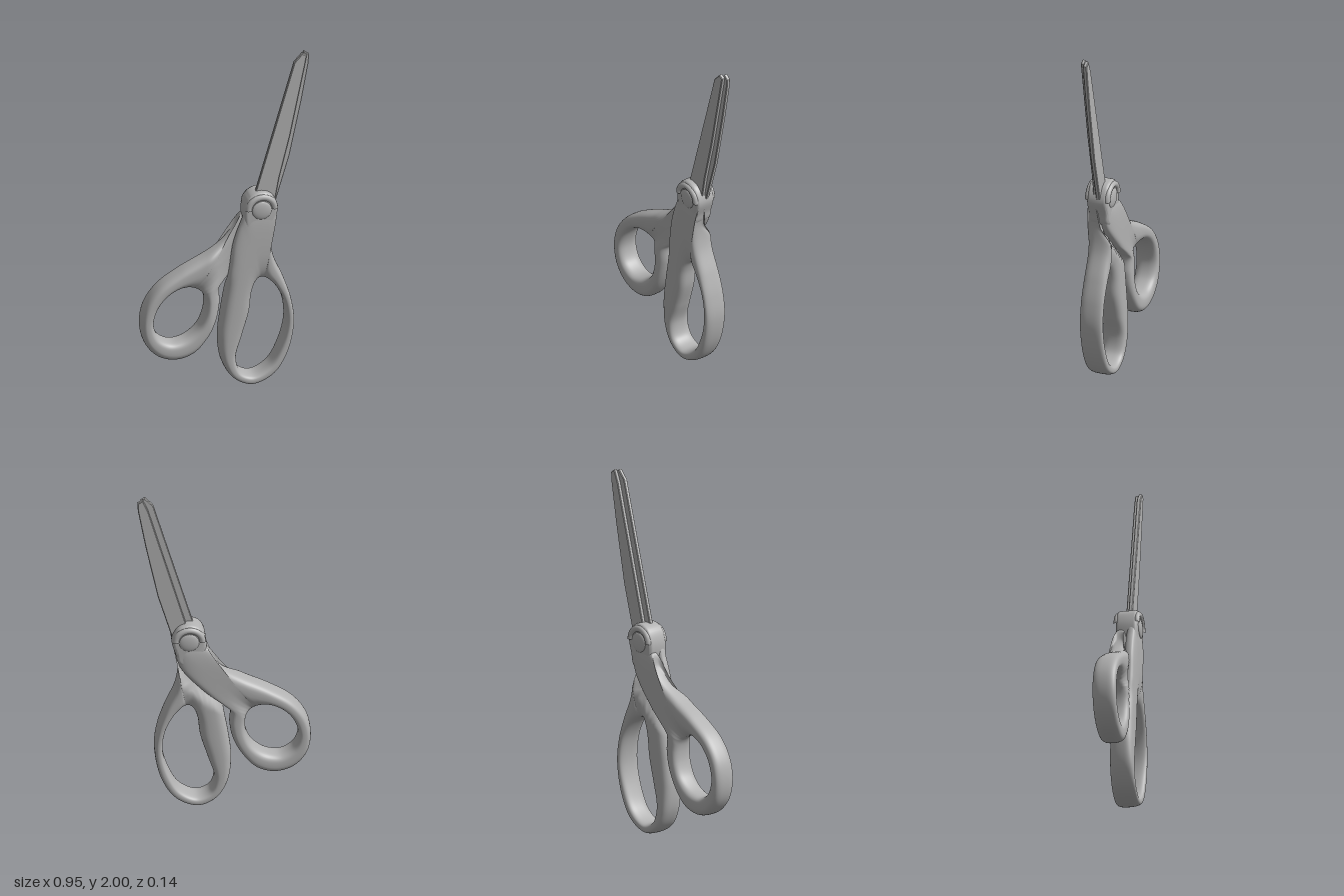
import * as THREE from 'three';
import { toCreasedNormals } from 'three/addons/utils/BufferGeometryUtils.js';

const grey = new THREE.MeshStandardMaterial({ color: 0xb2b2b2 });
grey.name = 'grey';

const closedCurve = (pts) =>
  new THREE.CatmullRomCurve3(pts.map(([x, y]) => new THREE.Vector3(x, y, 0)), true);

// Rounded loop between an outer and an inner outline; depth(x, y) gives [back, front]
function loopBody(pairs, depth, power, along = 200, around = 36) {
  const outer = closedCurve(pairs.map((p) => [p[0], p[1]]));
  const inner = closedCurve(pairs.map((p) => [p[2], p[3]]));
  const pos = [], index = [];
  const soft = (c) => Math.sign(c) * Math.abs(c) ** (2 / power);
  for (let i = 0; i < along; i++) {
    const o = outer.getPoint(i / along), n = inner.getPoint(i / along);
    for (let j = 0; j < around; j++) {
      const a = (j / around) * Math.PI * 2;
      const p = n.clone().lerp(o, (soft(Math.cos(a)) + 1) / 2);
      const [back, front] = depth(p.x, p.y);
      pos.push(p.x, p.y, (front + back) / 2 + soft(Math.sin(a)) * (front - back) / 2);
      const i2 = (i + 1) % along, j2 = (j + 1) % around;
      const A = i * around + j, B = i2 * around + j, C = i2 * around + j2, D = i * around + j2;
      index.push(A, B, C, A, C, D);
    }
  }
  const g = new THREE.BufferGeometry();
  g.setAttribute('position', new THREE.Float32BufferAttribute(pos, 3));
  g.setIndex(index);
  g.computeVertexNormals();
  return g;
}

// Bevelled plate from z0 to z1 that keeps the given outline
function plate(points, z0, z1, bevel, segments) {
  const g = new THREE.ExtrudeGeometry(new THREE.Shape(points), {
    depth: z1 - z0 - 2 * bevel, bevelEnabled: true, bevelThickness: bevel,
    bevelSize: bevel, bevelOffset: -bevel, bevelSegments: segments,
  });
  g.translate(0, 0, z0 + bevel);
  return toCreasedNormals(g, 0.7);
}

export function createModel() {
  const group = new THREE.Group();
  const add = (name, geometry) => {
    const mesh = new THREE.Mesh(geometry, grey);
    mesh.name = name;
    group.add(mesh);
    return mesh;
  };
  const v = (pts) => pts.map(([x, y]) => new THREE.Vector2(x, y));
  const step = THREE.MathUtils.smoothstep;

  // Long finger loop with the front shank: outer x, y, then inner x, y
  const longLoop = [
    [0.28, 1.08, 0.205, 0.645], [0.13, 1.1, 0.195, 0.645], [0.08, 1.0, 0.185, 0.643],
    [0.04, 0.88, 0.175, 0.637], [0.02, 0.74, 0.16, 0.615], [0.0, 0.6, 0.143, 0.56],
    [-0.025, 0.45, 0.13, 0.45], [-0.04, 0.3, 0.09, 0.31], [-0.02, 0.15, 0.055, 0.18],
    [0.04, 0.05, 0.08, 0.09], [0.14, 0.003, 0.15, 0.06], [0.26, 0.05, 0.24, 0.11],
    [0.34, 0.17, 0.3, 0.22], [0.38, 0.36, 0.335, 0.36], [0.365, 0.5, 0.32, 0.5],
    [0.325, 0.63, 0.27, 0.6], [0.265, 0.78, 0.235, 0.635], [0.25, 0.9, 0.22, 0.643],
    [0.265, 1.0, 0.212, 0.645],
  ];
  add('longFingerHandle', loopBody(longLoop, (x, y) => {
    const d = y - 0.66 - 0.95 * x;
    return [-0.068 + 0.06 * step(d, -0.08, 0.03), 0.064];
  }, 2.8));

  // Round thumb loop with the rear shank
  const roundLoop = [
    [0.25, 0.93, -0.15, 0.607], [0.25, 1.05, -0.158, 0.613], [0.1, 1.04, -0.168, 0.618],
    [0.07, 0.96, -0.18, 0.625], [0.0, 0.885, -0.195, 0.63], [-0.1, 0.82, -0.22, 0.635],
    [-0.25, 0.74, -0.27, 0.63], [-0.38, 0.65, -0.335, 0.59], [-0.455, 0.54, -0.385, 0.52],
    [-0.475, 0.42, -0.405, 0.43], [-0.45, 0.31, -0.375, 0.35], [-0.38, 0.23, -0.31, 0.31],
    [-0.28, 0.2, -0.25, 0.315], [-0.18, 0.23, -0.2, 0.34], [-0.1, 0.32, -0.15, 0.39],
    [-0.05, 0.42, -0.122, 0.46], [-0.03, 0.52, -0.115, 0.52], [-0.03, 0.62, -0.12, 0.565],
    [0.02, 0.67, -0.13, 0.588], [0.13, 0.77, -0.14, 0.6],
  ];
  add('roundThumbHandle', loopBody(roundLoop,
    (x) => [-0.07, 0.06 - 0.055 * step(x, -0.1, 0.04)], 2.8));

  // Pivot hub joining both shanks
  const hub = closedCurve([
    [0.1, 1.0], [0.1, 1.09], [0.13, 1.16], [0.19, 1.185], [0.25, 1.165],
    [0.287, 1.09], [0.267, 1.0], [0.25, 0.94], [0.18, 0.91], [0.11, 0.94],
  ]).getPoints(60).slice(0, -1).reverse();
  add('pivotHub', plate(v(hub.map((p) => [p.x, p.y])), -0.06, 0.06, 0.02, 5));

  // Raised rim and domed screw on each face
  for (const s of [1, -1]) {
    const side = s > 0 ? 'front' : 'back';
    add(side + 'PivotRim', new THREE.TorusGeometry(0.073, 0.018, 10, 40, Math.PI))
      .position.set(0.193, 1.085, s * 0.055);
    const screw = add(side + 'Screw', new THREE.SphereGeometry(0.055, 32, 10, 0, Math.PI * 2, 0, Math.PI / 2));
    screw.scale.y = 0.25;
    screw.rotation.x = s * Math.PI / 2;
    screw.position.set(0.193, 1.08, s * 0.058);
  }

  // Two closed blades, slightly offset from each other
  add('frontBlade', plate(v([
    [0.14, 1.08], [0.27, 1.08], [0.3, 1.25], [0.36, 1.5], [0.445, 1.93],
    [0.455, 1.985], [0.43, 2.0], [0.385, 1.95],
  ]), -0.001, 0.022, 0.004, 1));
  add('backBlade', plate(v([
    [0.18, 1.08], [0.28, 1.08], [0.363, 1.37], [0.43, 1.7], [0.47, 1.93],
    [0.473, 1.98], [0.445, 2.0], [0.415, 1.93],
  ]), -0.022, 0.001, 0.004, 1));

  return group;
}
